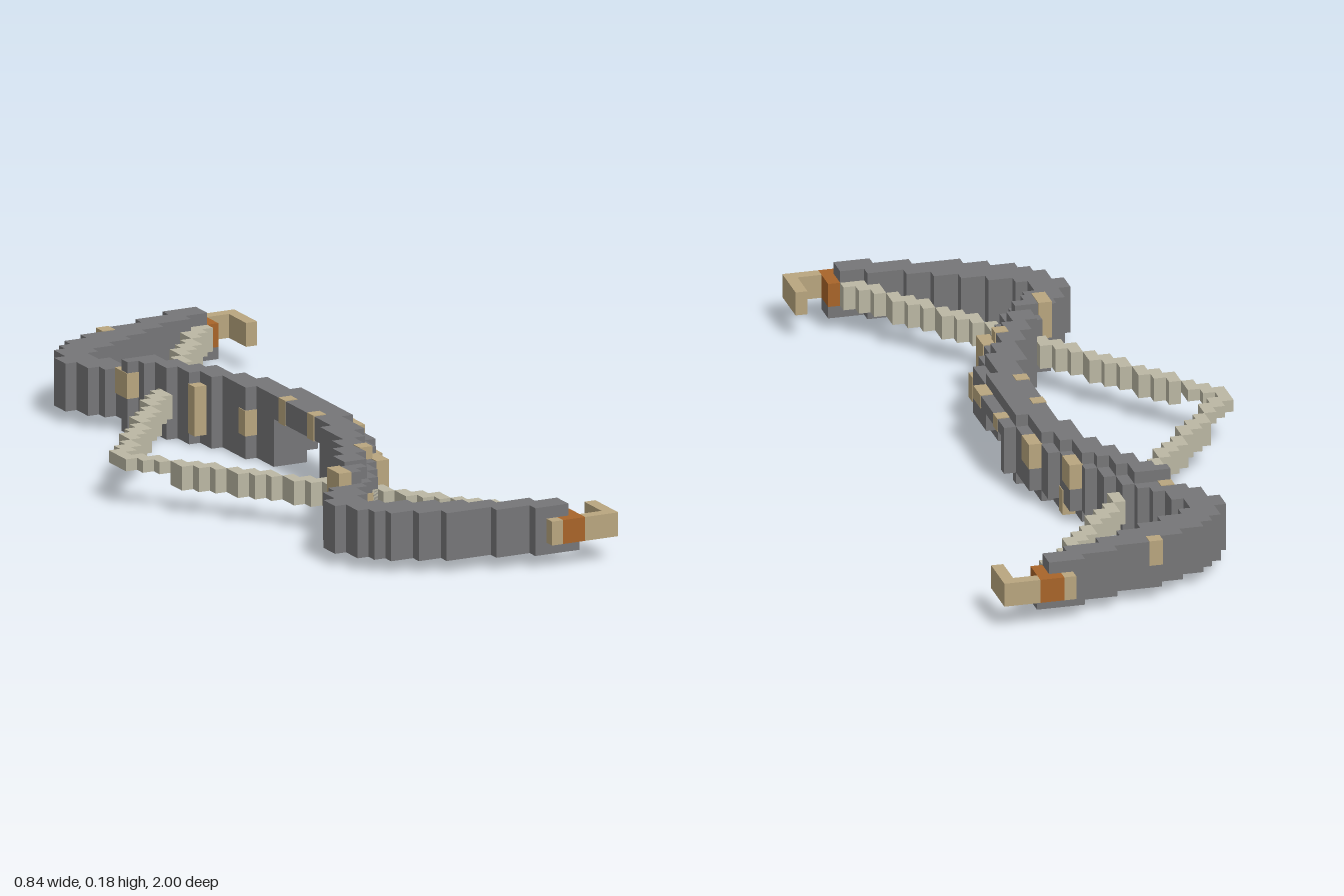
import * as THREE from 'three';
import { mergeGeometries } from 'three/addons/utils/BufferGeometryUtils.js';

const U = 2 / 67; // voxel size; the bow is 67 rows long
const ROWS = 67;

const mat = (name, color) => {
  const m = new THREE.MeshStandardMaterial({ color });
  m.name = name;
  return m;
};

// Box between voxel corners: x columns, y layers, z rows
function block(x0, x1, y0, y1, z0, z1, grow = 0) {
  const g = new THREE.BoxGeometry((x1 - x0) * U + grow, (y1 - y0) * U + grow, (z1 - z0) * U + grow);
  g.translate(((x0 + x1) / 2 - 14) * U, ((y0 + y1) / 2) * U, ((z0 + z1) / 2 - ROWS / 2) * U);
  return g;
}

// Column span of the limb in each row, from the tip to the middle
const SPANS = [
  [22, 23], [21, 24], [18, 24], [14, 22], [12, 19], [10, 17], [9, 15], [8, 13], [8, 11],
  [7, 10], [7, 10], [8, 11], [8, 11], [9, 12], [10, 13], [10, 14], [11, 14], [12, 15],
  [12, 15], [13, 16], [13, 17], [14, 17], [14, 17], [15, 18], [15, 18], [15, 19], [15, 19],
  [16, 19], [16, 19], [16, 20], [16, 20], [16, 20], [16, 20], [16, 20],
];
const spanAt = (r) => SPANS[Math.min(r, ROWS - 1 - r)];

export function createModel() {
  const group = new THREE.Group();
  const grey = mat('dark grey', 0x767678);
  const tan = mat('tan', 0xb9a67f);
  const cord = mat('pale cord', 0xbbb7a3);
  const orange = mat('burnt orange', 0xa86429);
  const add = (name, parts, material) => {
    const mesh = new THREE.Mesh(mergeGeometries(parts), material);
    mesh.name = name;
    group.add(mesh);
  };

  // Limbs: one slice per row, with a ridge above and below near the middle
  const limbs = [];
  for (let r = 1; r < ROWS - 1; r++) {
    const [a, b] = spanAt(r);
    const grip = r >= 30 && r <= 37; // open underneath
    limbs.push(block(a, b, grip ? 4 : 1, 5, r, r + 1));
    if (r >= 15 && r <= 52 && r !== 50) {
      limbs.push(block(a, b - 1, 5, 6, r, r + 1));
      if (!grip) limbs.push(block(a, b - 1, 0, 1, r, r + 1));
    }
  }
  // Ledges under the tip bindings
  for (const r of [1, 64]) limbs.push(block(24, 25, 1, 2, r, r + 2));
  add('limbs', limbs, grey);

  // Bowstring: stepped diagonals from the drawn point to both tips
  const string = [];
  for (let r = 2; r < ROWS - 2; r++) {
    const d = Math.abs(r - 33);
    const x = Math.floor(d * 0.75);
    const end = Math.max(x + 1, Math.ceil((d + 1) * 0.75));
    string.push(block(x, end, x < 3 ? 3 : 2, 4, r, r + 1));
  }
  add('bowstring', string, cord);

  // Hooked tips and their bindings, mirrored front to back
  const hooks = [], bindings = [];
  for (const side of [0, 1]) {
    const row = (x0, x1, z0, z1) =>
      side ? block(x0, x1, 2, 4, ROWS - z1, ROWS - z0) : block(x0, x1, 2, 4, z0, z1);
    hooks.push(row(22, 23, 0, 1), row(25, 28, 0, 1), row(27, 28, 1, 4));
    bindings.push(row(23, 25, 0, 1), row(24, 25, 1, 3));
  }
  add('tipHooks', hooks, tan);
  add('tipBindings', bindings, orange);

  // Worn tan patches: column, first row, row count, lower and upper layer
  const patches = [
    [14, 3, 1, 3, 5], [10, 14, 2, 3, 5], [16, 20, 2, 3, 5], [13, 21, 1, 1, 5], [15, 26, 1, 2, 4],
    [18, 25, 2, 3, 5], [16, 31, 1, 4, 6], [19, 31, 1, 4, 5], [16, 36, 1, 4, 6], [19, 36, 2, 4, 5],
    [18, 42, 1, 2, 4], [16, 46, 2, 1, 5], [15, 46, 1, 5, 6], [10, 51, 2, 3, 6], [12, 52, 1, 2, 4],
    [16, 22, 1, 0, 2], [15, 41, 1, 0, 2],
  ];
  add('wornPatches', patches.map(([x, r, n, y0, y1]) => block(x, x + 1, y0, y1, r, r + n, 0.004)), tan);

  // Sit exactly on the ground despite the slight patch overlap
  const box = new THREE.Box3().setFromObject(group);
  group.position.y = -box.min.y;
  return group;
}
